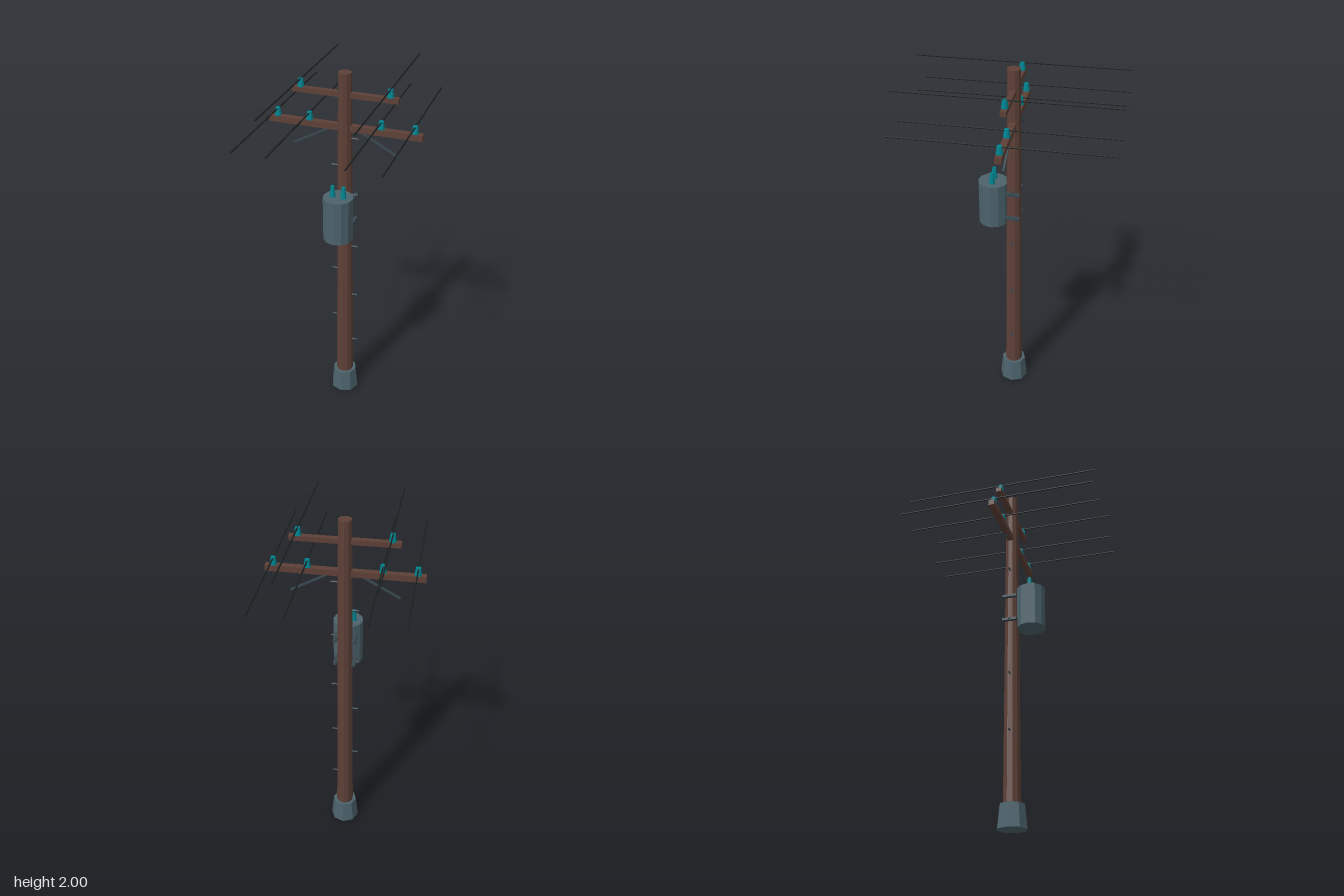
import * as THREE from 'three';

const mat = (name, color) => {
  const m = new THREE.MeshStandardMaterial({ color, flatShading: true });
  m.name = name;
  return m;
};

export function createModel() {
  const wood = mat('brown wood', 0x5d4037);
  const steel = mat('grey steel', 0x4c626c);
  const iron = mat('dark iron', 0x37474f);
  const glass = mat('teal glass', 0x00838f);
  const cable = mat('black cable', 0x1c1f20);
  const root = new THREE.Group();
  root.name = 'utilityPole';

  const add = (name, geometry, material, x, y, z) => {
    const mesh = new THREE.Mesh(geometry, material);
    mesh.name = name;
    mesh.position.set(x, y, z);
    root.add(mesh);
    return mesh;
  };
  // upright tapered cylinder standing on y
  const post = (name, material, rTop, rBottom, h, sides, x, y, z) =>
    add(name, new THREE.CylinderGeometry(rTop, rBottom, h, sides), material, x, y + h / 2, z);

  // Pole and footing
  post('footing', steel, 0.068, 0.081, 0.13, 8, 0, 0, 0);
  post('pole', wood, 0.035, 0.049, 1.9, 10, 0, 0.1, 0);

  // Crossarms with insulators and the wires they carry
  const arms = [
    { name: 'lowerCrossarm', half: 0.41, y: 1.709, h: 0.033, d: 0.034, xs: [0.367, 0.192], wireY: 1.761 },
    { name: 'upperCrossarm', half: 0.28, y: 1.885, h: 0.027, d: 0.03, xs: [0.235], wireY: 1.938 },
  ];
  for (const a of arms) {
    add(a.name, new THREE.BoxGeometry(a.half * 2, a.h, a.d), wood, 0, a.y, 0);
    for (const x0 of a.xs) for (const s of [-1, 1]) {
      const top = a.y + a.h / 2;
      post('insulator', glass, 0.013, 0.019, 0.042, 8, s * x0, top, 0);
      add('wire', new THREE.CylinderGeometry(0.004, 0.004, 1.12, 6), cable, s * x0, a.wireY, 0)
        .rotation.x = Math.PI / 2;
    }
  }

  // Diagonal braces and transformer brackets on both sides
  for (const s of [-1, 1]) {
    add('brace', new THREE.BoxGeometry(0.235, 0.009, 0.01), iron, s * 0.181, 1.64, 0)
      .rotation.z = -s * 0.5;
    for (const y of [1.165, 1.312])
      add('bracket', new THREE.BoxGeometry(0.02, 0.014, 0.08), iron, s * 0.05, y, 0);
  }

  // Transformer tank with two bushings
  post('transformerTank', steel, 0.081, 0.081, 0.247, 12, 0, 1.114, 0.112);
  for (const s of [-1, 1])
    post('bushing', glass, 0.01, 0.017, 0.063, 8, s * 0.03, 1.36, 0.112);

  // Climbing pegs, alternating sides
  for (let i = 0; i < 9; i++) {
    const s = i % 2 ? -1 : 1;
    add('climbingPeg', new THREE.CylinderGeometry(0.005, 0.005, 0.04, 6), iron, s * 0.054, 0.355 + i * 0.162, 0)
      .rotation.z = Math.PI / 2;
  }
  return root;
}
